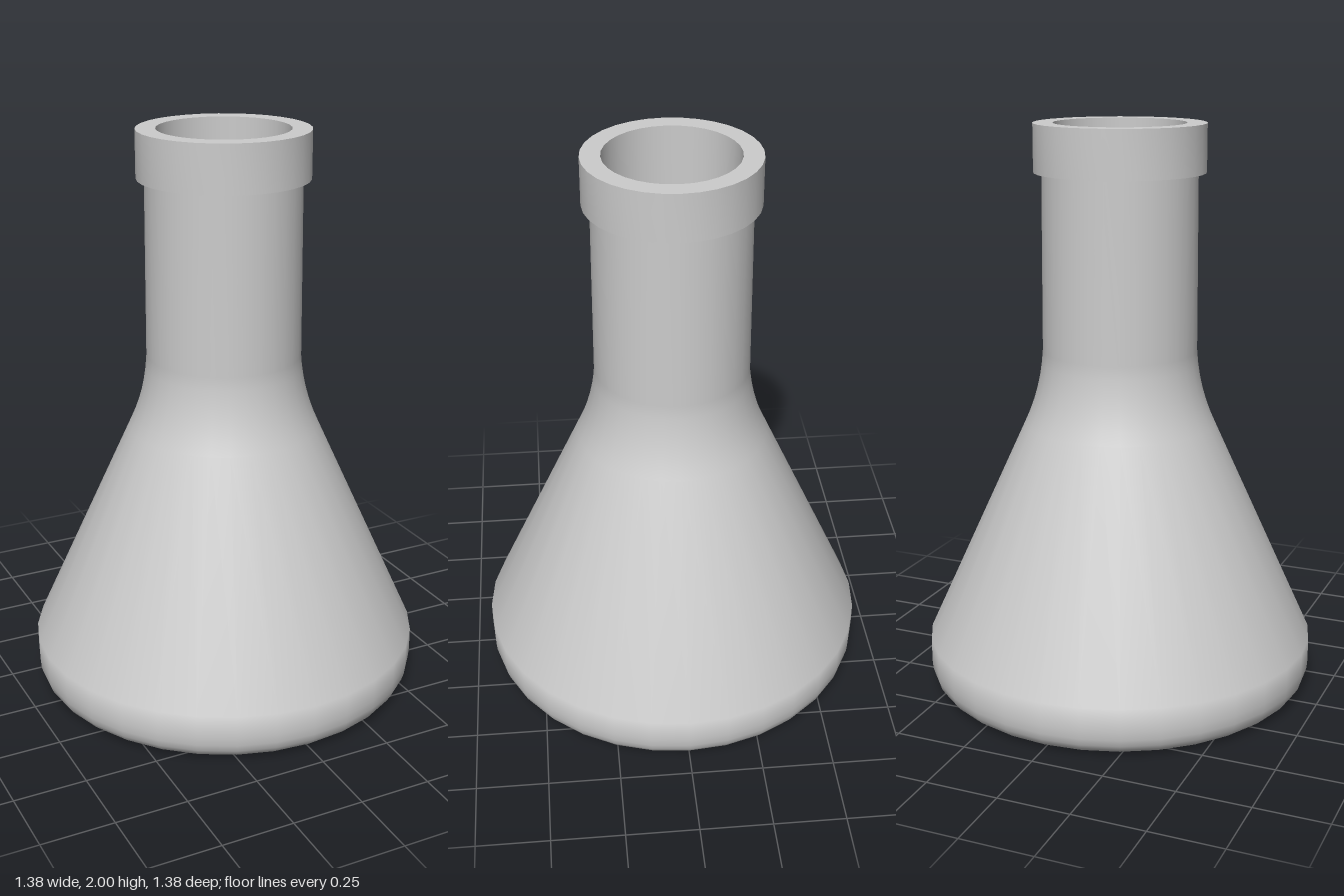
import * as THREE from 'three';
import { toCreasedNormals } from 'three/addons/utils/BufferGeometryUtils.js';

const SEGMENTS = 32;
const material = new THREE.MeshStandardMaterial({ color: 0xcccccc });

// Flask profile from the base centre up to yTop, moved inwards by the wall thickness t
function flaskProfile(t, yTop) {
  const path = new THREE.Path();
  path.moveTo(0, t);
  path.lineTo(0.6, t);
  path.quadraticCurveTo(0.69 - t, t, 0.69 - t, 0.1);
  path.lineTo(0.69 - t, 0.18);
  path.lineTo(0.335 - t, 0.96);
  path.quadraticCurveTo(0.278 - t, 1.08, 0.27 - t, 1.22);
  path.lineTo(0.267 - t, yTop);
  return path.getPoints(6);
}

function lathe(name, points, creased = false) {
  let geometry = new THREE.LatheGeometry(points, SEGMENTS);
  if (creased) geometry = toCreasedNormals(geometry, 0.5);
  const mesh = new THREE.Mesh(geometry, material);
  mesh.name = name;
  return mesh;
}

export function createModel() {
  const flask = new THREE.Group();
  flask.name = 'conicalFlask';

  // Outer body: rounded base, cone, curved shoulder and neck
  flask.add(lathe('body', flaskProfile(0, 1.84)));

  // Hollow inside, drawn from the mouth down so that it faces the axis
  flask.add(lathe('innerWall', flaskProfile(0.04, 2).reverse()));

  // Collar around the mouth, with sharp edges
  const rim = [[0.26, 1.835], [0.295, 1.835], [0.295, 2], [0.227, 2]];
  flask.add(lathe('rim', rim.map(([r, y]) => new THREE.Vector2(r, y)), true));

  return flask;
}
